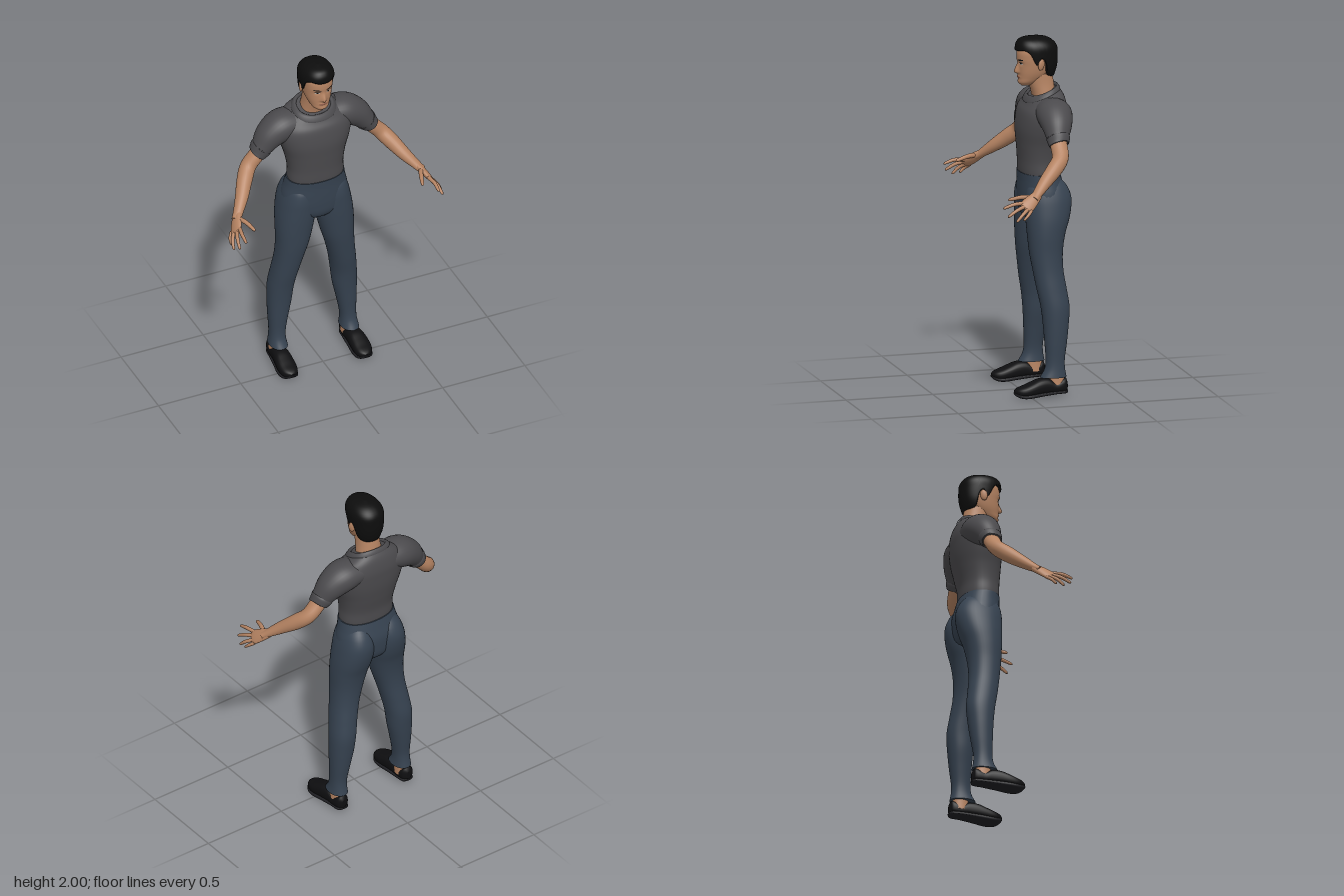
import * as THREE from 'three';

const mat = (name, hex) => {
  const m = new THREE.MeshStandardMaterial({ color: hex });
  m.name = name;
  return m;
};
const V = (x, y, z) => new THREE.Vector3(x, y, z);
const sstep = THREE.MathUtils.smoothstep;

// Smooth interpolation of key rows; the first column is the parameter
function sample(keys, u) {
  let i = 0;
  while (i < keys.length - 2 && u > keys[i + 1][0]) i++;
  const a = keys[i], b = keys[i + 1], p = keys[i - 1] || a, q = keys[i + 2] || b;
  const h = b[0] - a[0], t = (u - a[0]) / h, t2 = t * t, t3 = t2 * t;
  return a.map((v, c) => c === 0 ? u :
    (2 * t3 - 3 * t2 + 1) * v + (3 * t2 - 2 * t3) * b[c] +
    (t3 - 2 * t2 + t) * h * (b[c] - p[c]) / (b[0] - p[0]) +
    (t3 - t2) * h * (q[c] - v) / (q[0] - a[0]));
}
const steps = (keys, n) => Array.from({ length: n + 1 }, (_, i) =>
  sample(keys, keys[0][0] + (keys[keys.length - 1][0] - keys[0][0]) * i / n));

// Skin a stack of closed rings, with optional flat ends
function loft(rows, caps = true) {
  const n = rows[0].length, pos = [], idx = [];
  rows.forEach(r => r.forEach(p => pos.push(p.x, p.y, p.z)));
  for (let i = 0; i < rows.length - 1; i++) for (let j = 0; j < n; j++) {
    const a = i * n + j, b = i * n + (j + 1) % n;
    idx.push(a, a + n, b, b, a + n, b + n);
  }
  if (caps) [rows[0], rows[rows.length - 1]].forEach((r, end) => {
    const base = pos.length / 3, c = V(0, 0, 0);
    r.forEach(p => { pos.push(p.x, p.y, p.z); c.addScaledVector(p, 1 / n); });
    pos.push(c.x, c.y, c.z);
    for (let j = 0; j < n; j++) {
      const a = base + j, b = base + (j + 1) % n;
      if (end) idx.push(a, base + n, b); else idx.push(a, b, base + n);
    }
  });
  const g = new THREE.BufferGeometry();
  g.setAttribute('position', new THREE.Float32BufferAttribute(pos, 3));
  g.setIndex(idx);
  g.computeVertexNormals();
  return g;
}

const sp = (v, p) => Math.sign(v) * Math.abs(v) ** (2 / p);
const around = (n, f) => Array.from({ length: n }, (_, j) => f(j / n * Math.PI * 2));

// Horizontal ring: [y, xMin, xMax, zFront, zBack, tilt]
function ringH([y, x0, x1, zf, zb, tilt = 0], n = 40, p = 2.2) {
  return around(n, a => {
    const dz = (zf - zb) / 2 * sp(Math.sin(a), p);
    return V((x0 + x1) / 2 + (x1 - x0) / 2 * sp(Math.cos(a), p), y + tilt * dz, (zf + zb) / 2 + dz);
  });
}
const stack = (keys, n, p) => loft(steps(keys, n).map(k => ringH(k, 40, p)));
const sym = keys => keys.map(([y, r, ...rest]) => [y, -r, r, ...rest]);

// Tube along points [x, y, z, radius towards up, radius across]
function tube(pts, n, seg = 24, up = V(0, 1, 0)) {
  const k = steps(pts.map((p, i) => [i, ...p]), n), c = k.map(r => V(r[1], r[2], r[3]));
  return loft(k.map((r, i) => {
    const T = c[Math.min(i + 1, n)].clone().sub(c[Math.max(i - 1, 0)]).normalize();
    const N = up.clone().addScaledVector(T, -up.dot(T)).normalize();
    const B = N.clone().cross(T);
    return around(seg, a => c[i].clone().addScaledVector(N, r[4] * Math.cos(a)).addScaledVector(B, r[5] * Math.sin(a)));
  }));
}

function mirrored(geo) {
  const g = geo.clone().scale(-1, 1, 1), ix = g.index.array;
  for (let i = 0; i < ix.length; i += 3) [ix[i], ix[i + 1]] = [ix[i + 1], ix[i]];
  return g;
}

// Head surface: [y, half width, zFront, zBack]
const HEAD = [[1.722, .022, -.012, -.06], [1.74, .045, .004, -.09], [1.77, .062, .005, -.14], [1.80, .073, .007, -.17],
  [1.84, .081, .008, -.19], [1.88, .085, .013, -.2], [1.92, .085, .008, -.2], [1.96, .07, -.02, -.18], [1.985, .03, -.06, -.13]];
const gauss = (x, y, sx, sy) => Math.exp(-((x / sx) ** 2) - (y / sy) ** 2);
function features(x, y) {
  const nose = (1 - sstep(y, 1.803, 1.865)) * sstep(y, 1.784, 1.80);
  return .024 * nose * gauss(x, 0, .007 + .007 * nose, 1)
    - .006 * gauss(Math.abs(x) - .034, y - 1.852, .016, .011)
    + .005 * gauss(x, y - 1.772, .024, .008) + .004 * gauss(x, y - 1.74, .02, .012);
}
function faceZ(x, y) {
  const [, r, zf, zb] = sample(HEAD, y);
  return (zf + zb) / 2 + (zf - zb) / 2 * Math.max(0, 1 - Math.abs(x / r) ** 2.3) ** (1 / 2.3) + features(x, y);
}
// Thin oval laid on the face
function facePatch(x, y, rx, ry, turn, lift) {
  const g = new THREE.RingGeometry(0, 1, 20, 4).scale(rx, ry, 1).rotateZ(turn).translate(x, y, 0);
  const p = g.attributes.position;
  for (let i = 0; i < p.count; i++) p.setZ(i, faceZ(p.getX(i), p.getY(i)) + lift);
  g.computeVertexNormals();
  return g;
}

export function createModel() {
  const root = new THREE.Group();
  root.name = 'standingMan';
  const skin = mat('skin', 0xb58362), hair = mat('hair', 0x0d0d0d), shirt = mat('shirtGrey', 0x4b4a4d),
    denim = mat('trouserBlue', 0x364250), shoe = mat('shoeBlack', 0x0f0f11), sole = mat('soleGrey', 0x1f1f23),
    lip = mat('lips', 0x8f5c4a), white = mat('eyeWhite', 0xb8b0a8);
  const add = (name, geo, m) => {
    const mesh = new THREE.Mesh(geo, m);
    mesh.name = name;
    root.add(mesh);
  };
  const pair = (name, geo, m) => { add('left' + name, geo, m); add('right' + name, mirrored(geo), m); };

  // Head, neck and face
  add('head', loft(steps(HEAD, 64).map(([y, r, zf, zb]) => ringH([y, -r, r, zf, zb], 80, 2.3).map(p => {
    if (p.z > (zf + zb) / 2) p.z += features(p.x, y);
    return p;
  }))), skin);
  add('neck', stack(sym([[1.62, .08, -.08, -.2], [1.68, .073, -.07, -.2], [1.73, .066, -.055, -.195], [1.79, .063, -.04, -.185]]), 10), skin);
  pair('Ear', new THREE.SphereGeometry(1, 16, 12).scale(.01, .032, .02).rotateY(.35).rotateX(-.15).translate(.09, 1.85, -.1), skin);
  pair('EyeWhite', facePatch(.034, 1.851, .014, .0055, .08, .0015), white);
  pair('Iris', facePatch(.033, 1.851, .0058, .0055, 0, .0025), hair);
  pair('UpperLid', facePatch(.034, 1.857, .016, .0022, .06, .003), hair);
  pair('Eyebrow', facePatch(.036, 1.872, .021, .0038, .14, .002), hair);
  add('mouth', facePatch(0, 1.772, .025, .0065, 0, .0015), lip);

  // Hair with a hairline that dips to sideburns and nape
  const HAIR = [[1.77, .07, -.02, -.195], [1.82, .088, 0, -.21], [1.86, .093, .01, -.216], [1.90, .096, .02, -.216],
    [1.94, .095, .022, -.212], [1.97, .08, .012, -.19], [1.99, .052, -.012, -.155], [2, .012, -.06, -.11]];
  const LINE = [[-1, 1.775], [-.6, 1.778], [-.3, 1.80], [-.17, 1.865], [0, 1.885], [.15, 1.85], [.28, 1.855], [.42, 1.905], [.7, 1.93], [1, 1.922]];
  const hairRow = (t, tuck) => around(96, a => {
    const low = sample(LINE, Math.sin(a))[1], y = low + (2 - low) * Math.sin(t * Math.PI / 2);
    const [, r, zf, zb] = sample(HAIR, y), c = (zf + zb) / 2;
    return V(r * tuck * sp(Math.cos(a), 2.2), y, c + (zf - zb) / 2 * tuck * sp(Math.sin(a), 2.2));
  });
  add('hair', loft([hairRow(0, .86), ...Array.from({ length: 21 }, (_, i) => hairRow(i / 20, 1))]), hair);

  // Shirt
  add('shirtBody', stack(sym([[1.20, .158, -.006, -.208, 0], [1.24, .163, 0, -.213, 0], [1.31, .162, .002, -.216, 0],
    [1.40, .178, .008, -.235, 0], [1.48, .203, .012, -.25, 0], [1.55, .218, .004, -.256, -.02],
    [1.60, .21, -.008, -.256, -.08], [1.65, .17, -.03, -.24, -.25], [1.685, .108, -.045, -.21, -.38]]), 40, 2.3), shirt);
  add('collar', loft(sym([[1.666, .128, -.026, -.226, -.38], [1.676, .128, -.027, -.224, -.38], [1.692, .116, -.038, -.215, -.38],
    [1.698, .106, -.046, -.209, -.38], [1.692, .098, -.053, -.204, -.38], [1.675, .094, -.058, -.2, -.38]]).map(k => ringH(k)), false), shirt);
  pair('Sleeve', tube([[.10, 1.60, -.15, .07, .095], [.19, 1.585, -.146, .088, .10], [.26, 1.545, -.139, .08, .086],
    [.31, 1.49, -.13, .061, .065], [.337, 1.456, -.127, .049, .054]], 24, 32), shirt);
  pair('SleeveHem', tube([[.314, 1.485, -.13, .06, .065], [.318, 1.48, -.13, .062, .066], [.337, 1.456, -.127, .053, .058],
    [.34, 1.452, -.127, .05, .055]], 9, 32), shirt);

  // Arms and hands
  pair('Arm', tube([[.24, 1.56, -.135, .05, .05], [.335, 1.455, -.127, .043, .048], [.40, 1.387, -.118, .043, .046],
    [.445, 1.335, -.07, .044, .044], [.495, 1.275, 0, .035, .037], [.545, 1.222, .06, .023, .028], [.565, 1.203, .085, .018, .028]], 36), skin);
  const across = V(.44, -.62, -.65);
  pair('Palm', tube([[.545, 1.222, .055, .027, .02], [.562, 1.203, .083, .034, .019], [.58, 1.18, .115, .04, .017],
    [.592, 1.165, .137, .038, .013], [.597, 1.159, .146, .028, .007]], 14, 24, across), skin);
  const fingers = {
    Thumb: [[.557, 1.212, .085], [.53, 1.211, .148], [.51, 1.195, .215], .0125],
    IndexFinger: [[.574, 1.187, .148], [.585, 1.184, .21], [.585, 1.165, .265], .0105],
    MiddleFinger: [[.585, 1.173, .135], [.608, 1.154, .195], [.617, 1.122, .247], .0105],
    RingFinger: [[.595, 1.16, .122], [.626, 1.13, .167], [.633, 1.094, .203], .010],
    LittleFinger: [[.604, 1.148, .108], [.626, 1.125, .135], [.63, 1.10, .16], .009],
  };
  for (const [name, [a, b, c, r]] of Object.entries(fingers)) {
    const curve = new THREE.CatmullRomCurve3([V(...a), V(...b), V(...c)]);
    const taper = [[0, 1.1], [.45, 1], [.85, .8], [.95, .62], [1, .2]];
    pair(name, tube(taper.map(([t, s]) => [...curve.getPoint(t).toArray(), r * s, r * s]), 16, 12, across), skin);
  }

  // Trousers
  add('trouserHips', stack(sym([[.955, .04, -.07, -.17], [.975, .10, -.03, -.21], [1.01, .165, -.008, -.235], [1.07, .196, 0, -.246],
    [1.13, .193, .002, -.247], [1.19, .178, .002, -.232], [1.236, .169, .004, -.219]]), 24), denim);
  pair('TrouserLeg', stack([[.108, .165, .268, -.058, -.206], [.15, .17, .262, -.082, -.198], [.2, .168, .26, -.09, -.196],
    [.3, .15, .264, -.086, -.21], [.4, .13, .266, -.08, -.222], [.5, .118, .263, -.069, -.229], [.6, .10, .25, -.05, -.217],
    [.7, .075, .236, -.034, -.204], [.8, .045, .229, -.02, -.205], [.9, .02, .228, -.012, -.222], [.98, .004, .223, -.007, -.248],
    [1.05, 0, .212, -.005, -.263], [1.11, .005, .198, -.006, -.263], [1.17, .02, .175, -.02, -.238], [1.2, .04, .15, -.05, -.21]], 64), denim);

  // Feet: ankle, shoe and sole; shoe rings are [z, centre x, half width, bottom, top]
  pair('Ankle', stack([[.05, .178, .262, -.10, -.195], [.09, .18, .258, -.10, -.193], [.17, .182, .25, -.105, -.185]], 6), skin);
  const footLoft = (keys, p) => loft(steps(keys, 32).map(([z, cx, w, y0, y1]) => around(28, a =>
    V(cx + w * sp(Math.cos(a), p), (y0 + y1) / 2 - (y1 - y0) / 2 * sp(Math.sin(a), p), z))));
  pair('Shoe', footLoft([[-.21, .222, .012, .03, .08], [-.2, .222, .032, .022, .102], [-.175, .222, .04, .018, .098],
    [-.14, .222, .042, .018, .084], [-.10, .223, .044, .016, .104], [-.05, .225, .049, .012, .104], [0, .227, .053, .008, .086],
    [.04, .227, .051, .006, .07], [.07, .226, .041, .01, .06], [.09, .225, .022, .022, .05], [.096, .225, .008, .032, .044]], 2.5), shoe);
  pair('Sole', footLoft([[-.212, .222, .014, .022, .032], [-.2, .222, .034, .016, .034], [-.14, .222, .042, .014, .034],
    [-.05, .225, .05, .007, .03], [0, .227, .055, .002, .026], [.04, .227, .053, 0, .024], [.07, .226, .043, .005, .026],
    [.09, .225, .024, .016, .032], [.097, .225, .008, .026, .034]], 4), sole);

  return root;
}
